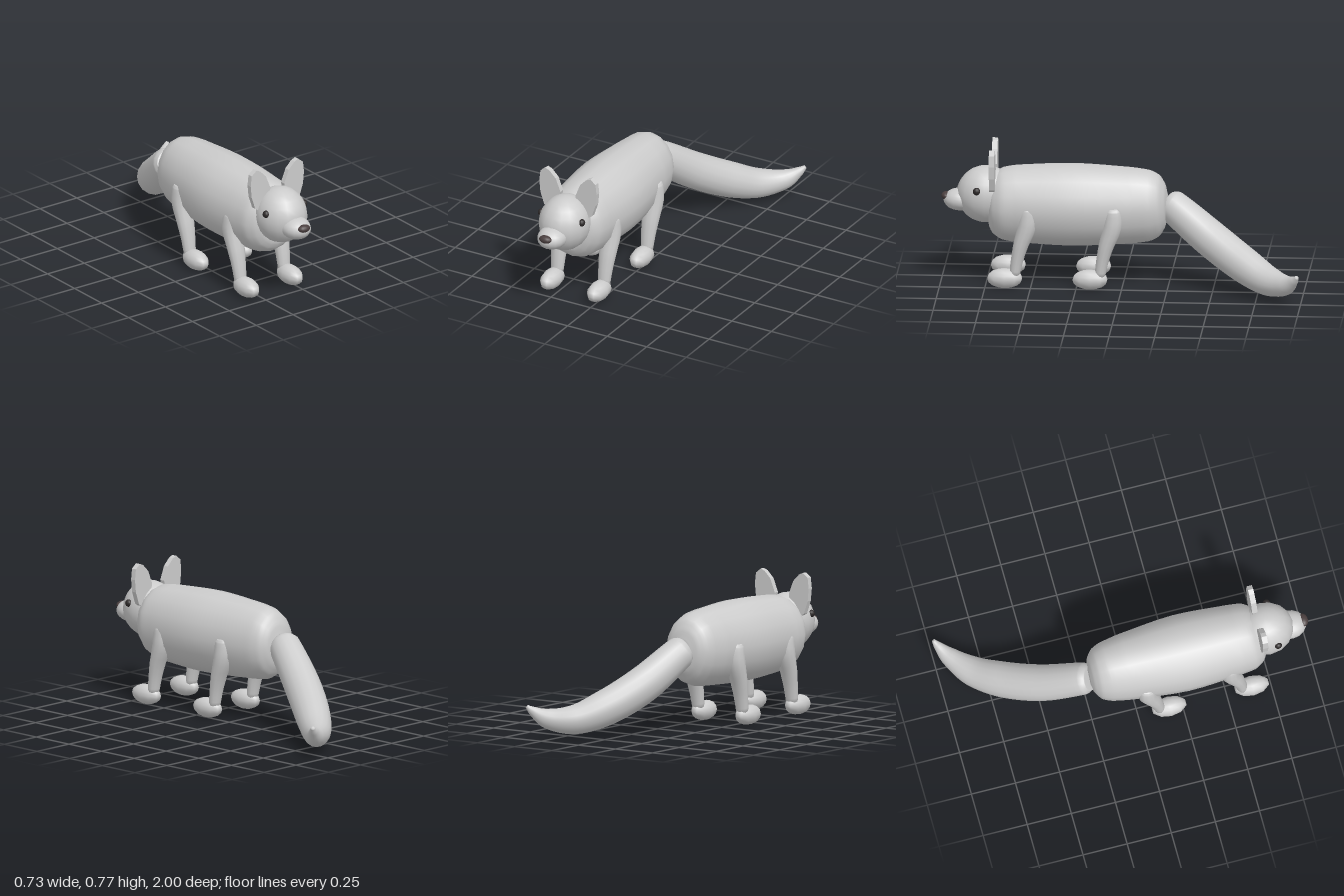
import * as THREE from 'three';

const CX = -0.156; // the animal's own centre line

const material = (color) => new THREE.MeshStandardMaterial({ color });
const fur = material(0xcccccc);
const dark = material(0x2e2a2a);
const noseColor = material(0x4a3f3f);

function part(name, geometry, mat = fur) {
  const mesh = new THREE.Mesh(geometry, mat);
  mesh.name = name;
  return mesh;
}

function ellipsoid(name, [x, y, z], [rx, ry, rz], [w, h], mat) {
  const mesh = part(name, new THREE.SphereGeometry(1, w, h).scale(rx, ry, rz), mat);
  mesh.position.set(x, y, z);
  return mesh;
}

// Smooth skin through rings [x, y, z, radiusU, radiusV], closed at both ends
function loft(rings, ref, sides, steps) {
  const path = new THREE.CatmullRomCurve3(rings.map(([x, y, z]) => new THREE.Vector3(x, y, z)));
  const radii = new THREE.CatmullRomCurve3(
    rings.map((r) => new THREE.Vector3(r[3], r[4], 0)), false, 'catmullrom', 0.4);
  const position = [], index = [];
  for (let i = 0; i <= steps; i++) {
    const c = path.getPoint(i / steps), r = radii.getPoint(i / steps);
    const t = path.getTangent(i / steps);
    const u = ref.clone().cross(t).normalize();
    const v = t.clone().cross(u);
    for (let j = 0; j < sides; j++) {
      const a = (j / sides) * Math.PI * 2;
      const p = c.clone()
        .addScaledVector(u, Math.cos(a) * Math.max(r.x, 0))
        .addScaledVector(v, Math.sin(a) * Math.max(r.y, 0));
      position.push(p.x, p.y, p.z);
      if (i < steps) {
        const k = (j + 1) % sides, a0 = i * sides, b0 = a0 + sides;
        index.push(a0 + j, a0 + k, b0 + k, a0 + j, b0 + k, b0 + j);
      }
    }
  }
  // end caps
  [0, steps].forEach((row) => {
    const p = path.getPoint(row / steps);
    const centre = position.length / 3;
    position.push(p.x, p.y, p.z);
    for (let j = 0; j < sides; j++) {
      const a = row * sides + j, b = row * sides + ((j + 1) % sides);
      if (row) index.push(centre, a, b);
      else index.push(centre, b, a);
    }
  });
  const g = new THREE.BufferGeometry();
  g.setAttribute('position', new THREE.Float32BufferAttribute(position, 3));
  g.setIndex(index);
  g.computeVertexNormals();
  return g;
}

function ear(side) {
  // leaf outline measured from the centre line
  const outline = [
    [0.142, 0.775], [0.117, 0.765], [0.077, 0.725], [0.047, 0.65], [0.055, 0.605],
    [0.09, 0.56], [0.132, 0.537], [0.15, 0.55], [0.174, 0.62], [0.181, 0.69], [0.174, 0.75],
  ];
  const shape = new THREE.Shape(outline.map(([x, y]) => new THREE.Vector2(side * x, y)));
  const g = new THREE.ExtrudeGeometry(shape, { depth: 0.03, bevelEnabled: false });
  const mesh = part(side > 0 ? 'leftEar' : 'rightEar', g);
  mesh.position.set(CX, 0, 0.697);
  return mesh;
}

function leg(name, side, z) {
  const group = new THREE.Group();
  group.name = name;
  const rings = [
    [0.166, 0.465, -0.128, 0.024, 0.034],
    [0.163, 0.445, -0.128, 0.038, 0.047],
    [0.156, 0.36, -0.125, 0.052, 0.053],
    [0.151, 0.25, -0.09, 0.05, 0.042],
    [0.149, 0.16, -0.068, 0.042, 0.034],
    [0.148, 0.07, -0.053, 0.035, 0.029],
  ].map(([x, y, dz, a, b]) => [CX + side * x, y, z + dz, a, b]);
  group.add(part('limb', loft(rings, new THREE.Vector3(0, 0, 1), 12, 15)));
  group.add(ellipsoid('foot', [CX + side * 0.148, 0.055, z], [0.055, 0.055, 0.1], [10, 8]));
  return group;
}

export function createModel() {
  const model = new THREE.Group();
  model.name = 'animal';
  const up = new THREE.Vector3(0, 1, 0);

  // barrel-shaped trunk, from rump to chest
  const trunk = [
    [-0.245, 0.05, 0.06], [-0.228, 0.1, 0.125], [-0.195, 0.138, 0.175], [-0.14, 0.16, 0.202],
    [-0.03, 0.18, 0.216], [0.28, 0.21, 0.231], [0.58, 0.192, 0.217], [0.66, 0.182, 0.203],
    [0.71, 0.152, 0.172], [0.734, 0.115, 0.13], [0.74, 0.06, 0.07],
  ].map(([z, rx, ry]) => [CX, 0.441, z, rx, ry]);
  model.add(part('trunk', loft(trunk, up, 16, 40)));

  // head
  model.add(ellipsoid('head', [CX, 0.493, 0.755], [0.143, 0.158, 0.16], [16, 12]));
  model.add(ellipsoid('snout', [CX, 0.46, 0.895], [0.081, 0.062, 0.093], [16, 12]));
  model.add(ellipsoid('nose', [CX, 0.48, 0.972], [0.038, 0.022, 0.027], [14, 10], noseColor));

  for (const side of [1, -1]) {
    const label = side > 0 ? 'Left' : 'Right';
    model.add(ellipsoid(`eye${label}`, [CX + side * 0.128, 0.537, 0.797],
      [0.019, 0.021, 0.021], [12, 8], dark));
    model.add(ear(side));
    model.add(leg(`frontLeg${label}`, side, 0.641));
    model.add(leg(`hindLeg${label}`, side, 0.173));
  }

  // tail sweeping down to the left, with an upturned tip
  const tail = [
    [-0.175, 0.455, -0.24, 0.07, 0.07], [-0.163, 0.44, -0.268, 0.088, 0.09],
    [-0.07, 0.28, -0.488, 0.1, 0.103], [0.045, 0.165, -0.68, 0.098, 0.1],
    [0.155, 0.107, -0.82, 0.082, 0.082], [0.265, 0.115, -0.92, 0.052, 0.056],
    [0.33, 0.158, -0.97, 0.024, 0.026], [0.355, 0.183, -0.988, 0.01, 0.01],
  ];
  model.add(part('tail', loft(tail, up, 16, 42)));

  return model;
}
